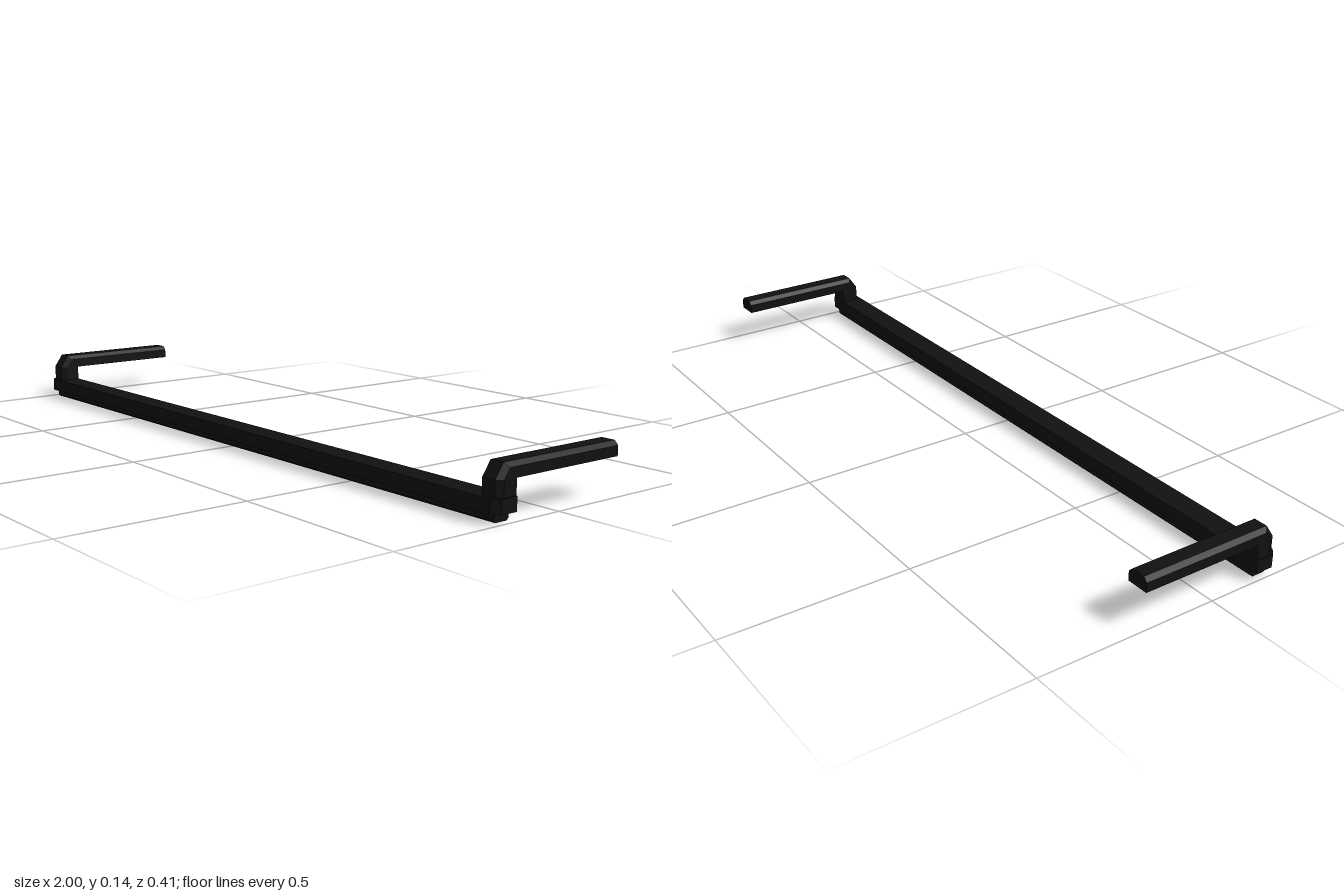
import * as THREE from 'three';

const black = new THREE.MeshStandardMaterial({ color: 0x111111, flatShading: true });

function addMesh(parent, name, geometry) {
  const mesh = new THREE.Mesh(geometry, black);
  mesh.name = name;
  parent.add(mesh);
  return mesh;
}

function extrude(points, depth) {
  const shape = new THREE.Shape(points.map(([x, y]) => new THREE.Vector2(x, y)));
  return new THREE.ExtrudeGeometry(shape, { depth, bevelEnabled: false });
}

// Bent arm: stations of [inner z, inner y, outer z, outer y], with the outer edges chamfered
function armGeometry() {
  const stations = [
    [0.138, 0.058, 0.195, 0.058],
    [0.138, 0.098, 0.195, 0.099],
    [0.138, 0.098, 0.17, 0.135],
    [-0.203, 0.098, -0.203, 0.135],
  ];
  // cross-section: [x, fraction from inner to outer side]
  const section = [[-0.03, 0], [0.03, 0], [0.03, 0.7], [0.019, 1], [-0.019, 1], [-0.03, 0.7]];
  const n = section.length;
  const positions = [];
  const index = [];
  for (const [zi, yi, zo, yo] of stations) {
    for (const [x, t] of section) positions.push(x, yi + (yo - yi) * t, zi + (zo - zi) * t);
  }
  for (let s = 0; s < stations.length - 1; s++) {
    for (let i = 0; i < n; i++) {
      const a = s * n + i, b = s * n + (i + 1) % n;
      index.push(a, a + n, b, b, a + n, b + n);
    }
  }
  // end caps
  const last = (stations.length - 1) * n;
  for (let i = 1; i < n - 1; i++) {
    index.push(0, i, i + 1, last, last + i + 1, last + i);
  }
  const geometry = new THREE.BufferGeometry();
  geometry.setAttribute('position', new THREE.Float32BufferAttribute(positions, 3));
  geometry.setIndex(index);
  const flat = geometry.toNonIndexed();
  flat.computeVertexNormals();
  return flat;
}

export function createModel() {
  const group = new THREE.Group();
  group.name = 'bracketBar';

  // Long front bar, plan outline with clipped front corners
  const bar = extrude([
    [-1, -0.138], [-1, -0.188], [-0.982, -0.205], [0.982, -0.205], [1, -0.188], [1, -0.138],
  ], 0.036);
  bar.rotateX(-Math.PI / 2);
  addMesh(group, 'mainBar', bar).position.y = 0.022;

  // Narrow strip under the bar, with chamfered lower edges
  const strip = extrude([
    [-0.189, 0.022], [-0.189, 0.005], [-0.184, 0], [-0.148, 0], [-0.143, 0.005], [-0.143, 0.022],
  ], 1.96);
  strip.rotateY(Math.PI / 2);
  addMesh(group, 'lowerStrip', strip).position.x = -0.98;

  // Arms reaching back from both ends
  const arm = armGeometry();
  for (const side of [-1, 1]) {
    addMesh(group, side > 0 ? 'leftArm' : 'rightArm', arm).position.x = side * 0.967;
  }
  return group;
}
